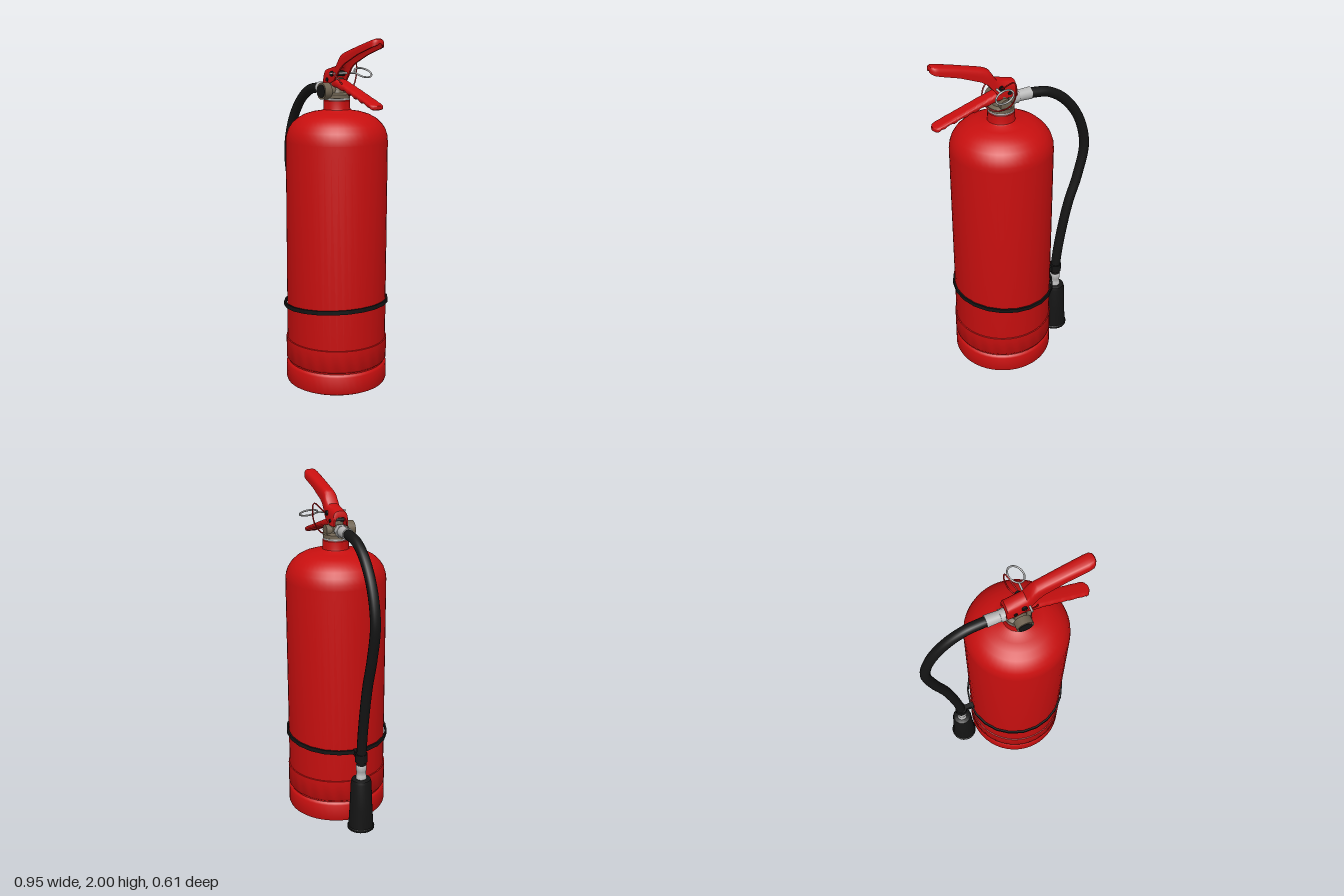
import * as THREE from 'three';
import { toCreasedNormals } from 'three/addons/utils/BufferGeometryUtils.js';

const mat = (color) => new THREE.MeshStandardMaterial({ color, side: THREE.DoubleSide });
const V = (x, y, z) => new THREE.Vector3(x, y, z);

export function createModel() {
  const red = mat(0xc80f0f), black = mat(0x141414), silver = mat(0xb8b8b8), brass = mat(0x6e6250);
  const model = new THREE.Group();
  model.name = 'fireExtinguisher';

  // Everything is built round the tank axis; the valve plane is turned slightly
  const axis = new THREE.Group();
  axis.name = 'tankAssembly';
  axis.position.x = 0.08;
  const head = new THREE.Group();
  head.name = 'valveAndHose';
  head.rotation.y = -0.224;
  axis.add(head);
  model.add(axis);

  const add = (parent, name, geometry, material, x = 0, y = 0, z = 0) => {
    const mesh = new THREE.Mesh(geometry, material);
    mesh.name = name;
    mesh.position.set(x, y, z);
    parent.add(mesh);
    return mesh;
  };
  const lathe = (parent, name, pts, material, x = 0, segs = 48) =>
    add(parent, name, toCreasedNormals(
      new THREE.LatheGeometry(pts.map(([r, y]) => new THREE.Vector2(r, y)), segs), 0.6), material, x);
  const tube = (parent, name, pts, r, material, segs = 48, closed = false) =>
    add(parent, name, new THREE.TubeGeometry(
      new THREE.CatmullRomCurve3(pts, closed), segs, r, 12, closed), material);
  // Cylinder lying along local z (turn = 'x') or local x (turn = 'z')
  const rod = (name, r1, r2, len, turn, material, x, y, z, segs = 24) => {
    const g = new THREE.CylinderGeometry(r1, r2, len, segs);
    if (turn === 'x') g.rotateX(Math.PI / 2);
    if (turn === 'z') g.rotateZ(Math.PI / 2);
    return add(head, name, g, material, x, y, z);
  };

  // Tank with domed shoulder and neck
  lathe(axis, 'tank', [[0.28, 0.1], [0.29, 0.2], [0.29, 1.43], [0.287, 1.46], [0.276, 1.495],
    [0.256, 1.526], [0.225, 1.555], [0.185, 1.577], [0.14, 1.591], [0.085, 1.6], [0.077, 1.606],
    [0.075, 1.615], [0.075, 1.655], [0.07, 1.662], [0, 1.662]], red);
  // Foot with recessed underside, groove and sleeve
  lathe(axis, 'baseSkirt', [[0, 0.06], [0.1, 0.055], [0.19, 0.035], [0.235, 0.01], [0.255, 0], [0.28, 0],
    [0.291, 0.006], [0.296, 0.018], [0.296, 0.11], [0.291, 0.12], [0.283, 0.126], [0.283, 0.134],
    [0.291, 0.14], [0.296, 0.148], [0.296, 0.268], [0.289, 0.27]], red);

  // Slanted retaining band
  const sides = 22;
  const ngon = (r, Type) => new Type(Array.from({ length: sides }, (_, i) => {
    const a = (i / sides) * Math.PI * 2;
    return new THREE.Vector2(r * Math.cos(a) - 0.004, r * Math.sin(a));
  }));
  const band = ngon(0.306, THREE.Shape);
  band.holes.push(ngon(0.296, THREE.Path));
  const bandGeo = new THREE.ExtrudeGeometry(band, { depth: 0.024, bevelEnabled: false });
  bandGeo.rotateX(-Math.PI / 2);
  const bp = bandGeo.attributes.position;
  for (let i = 0; i < bp.count; i++) bp.setY(i, bp.getY(i) + 0.47 + 0.07 * bp.getX(i) + 0.012 * bp.getZ(i));
  bandGeo.computeVertexNormals();
  add(axis, 'retainingBand', bandGeo, black);

  // Hose, its clip, and the discharge horn
  const hornX = -0.374;
  tube(head, 'hose', [V(-0.15, 1.718, 0), V(-0.21, 1.714, 0), V(-0.287, 1.7, 0), V(-0.39, 1.635, 0),
    V(-0.49, 1.5, 0), V(-0.541, 1.31, 0), V(-0.505, 1.1, 0), V(-0.45, 0.92, 0), V(-0.405, 0.7, 0),
    V(-0.38, 0.52, 0), V(hornX, 0.4, 0)], 0.029, black, 90);
  add(head, 'hoseClip', new THREE.CylinderGeometry(0.036, 0.036, 0.05, 20), black, hornX, 0.455, 0);
  add(head, 'clipLink', new THREE.BoxGeometry(0.09, 0.035, 0.03), black, -0.325, 0.455, 0);
  lathe(head, 'hornFerrule', [[0, 0.31], [0.031, 0.31], [0.031, 0.34], [0.028, 0.345], [0.028, 0.37],
    [0.031, 0.375], [0.031, 0.405], [0.027, 0.412], [0, 0.412]], silver, hornX, 24);
  lathe(head, 'dischargeHorn', [[0, 0.03], [0.055, 0.02], [0.062, 0], [0.079, 0], [0.08, 0.012],
    [0.074, 0.016], [0.067, 0.14], [0.06, 0.3], [0.055, 0.318], [0.045, 0.323], [0, 0.323]], black, hornX, 28);

  // Valve body, gauge and hose coupling
  lathe(head, 'valveBody', [[0.06, 1.655], [0.06, 1.668], [0.073, 1.67], [0.073, 1.69], [0.066, 1.696],
    [0.05, 1.7], [0.043, 1.72], [0.043, 1.76], [0.036, 1.78], [0, 1.78]], brass, 0, 32);
  lathe(head, 'collarRing', [[0.062, 1.66], [0.073, 1.66], [0.073, 1.669], [0.062, 1.669]], silver, 0, 32);
  rod('gaugeHousing', 0.047, 0.047, 0.045, 'x', brass, 0, 1.71, 0.082);
  rod('gaugeStem', 0.034, 0.034, 0.15, 'x', brass, 0, 1.71, 0.01);
  rod('gaugeFace', 0.038, 0.038, 0.006, 'x', black, 0, 1.71, 0.104);
  rod('hoseOutlet', 0.03, 0.03, 0.1, 'z', brass, -0.05, 1.718, 0);
  rod('couplingNut', 0.038, 0.038, 0.035, 'z', silver, -0.082, 1.718, 0, 6);
  rod('couplingSleeve', 0.034, 0.031, 0.085, 'z', silver, -0.135, 1.718, 0);

  // Loft of closed sections along x; sections list points so that i mirrors M-1-i
  const loft = (rings) => {
    const out = [], M = rings[0].length, last = rings.length - 1;
    const quad = (a, b, c, d) => [a, b, c, a, c, d].forEach((p) => out.push(p.x, p.y, p.z));
    for (let s = 0; s < last; s++) for (let i = 0; i < M; i++) {
      const j = (i + 1) % M;
      quad(rings[s][i], rings[s + 1][i], rings[s + 1][j], rings[s][j]);
    }
    for (let i = 0; i < M / 2 - 1; i++) {
      const [a, b] = [rings[0], rings[last]], j = M - 1 - i;
      quad(a[i], a[i + 1], a[j - 1], a[j]);
      quad(b[j], b[j - 1], b[i + 1], b[i]);
    }
    const g = new THREE.BufferGeometry();
    g.setAttribute('position', new THREE.Float32BufferAttribute(out, 3));
    return toCreasedNormals(g, 0.7);
  };
  const pow = (v, e) => Math.sign(v) * Math.pow(Math.abs(v), e);
  const N = 12;

  // Inverted-channel section of the squeeze lever
  const channel = ([x, top, bottom, w]) => {
    const arch = (hw, h) => Array.from({ length: N + 1 }, (_, i) => {
      const a = (i / N) * Math.PI;
      return V(x, bottom + h * Math.pow(Math.max(0, Math.sin(a)), 0.6), hw * pow(Math.cos(a), 0.6));
    });
    const h = top - bottom;
    return [...arch(w, h), ...arch(w - 0.01, Math.max(0.004, h - 0.012)).reverse()];
  };
  add(head, 'squeezeLever', loft([
    [-0.077, 1.805, 1.745, 0.043], [-0.07, 1.828, 1.742, 0.046], [-0.02, 1.84, 1.745, 0.046],
    [0.037, 1.853, 1.768, 0.046], [0.056, 1.882, 1.792, 0.045], [0.075, 1.911, 1.815, 0.043],
    [0.095, 1.922, 1.84, 0.041], [0.133, 1.934, 1.865, 0.04], [0.25, 1.966, 1.914, 0.041],
    [0.36, 1.994, 1.948, 0.043], [0.385, 2.0, 1.956, 0.04], [0.398, 1.997, 1.962, 0.03],
    [0.404, 1.988, 1.968, 0.018]].map(channel)), red);

  // Carrying handle with finger scallops underneath
  const handleRings = [];
  for (let k = 0; k <= 48; k++) {
    const t = k / 48, x = -0.02 + 0.422 * t;
    const top = x < 0.04 ? 1.775 : 1.775 - 0.335 * (x - 0.04);
    const scallop = x > 0.1 && t < 0.93 ? 0.01 * Math.abs(Math.sin((x - 0.1) * Math.PI / 0.062)) : 0;
    const tip = t > 0.94 ? Math.sqrt(Math.max(0.12, 1 - ((t - 0.94) / 0.06) ** 2)) : 1;
    const h = (0.05 - 0.02 * t - scallop) * (0.5 + 0.5 * tip), w = 0.042 * tip;
    handleRings.push(Array.from({ length: 2 * N }, (_, i) => {
      const a = ((i + 0.5) / N) * Math.PI;
      return V(x, top - h / 2 + (h / 2) * pow(Math.sin(a), 0.6), w * pow(Math.cos(a), 0.6));
    }));
  }
  add(head, 'carryHandle', loft(handleRings), red);

  // Pivot bolts, safety pin with ring, and seal loop
  rod('pivotBolt', 0.015, 0.015, 0.104, 'x', black, 0.018, 1.805, 0, 16);
  rod('handleBolt', 0.011, 0.011, 0.1, 'x', black, -0.03, 1.77, 0, 16);
  rod('safetyPin', 0.006, 0.006, 0.175, 'x', silver, 0.046, 1.808, -0.008, 12);
  const ring = add(head, 'pinRing',
    new THREE.TorusGeometry(0.05, 0.005, 10, 40).rotateX(Math.PI / 2), silver, 0.05, 1.808, -0.143);
  ring.rotation.z = -0.5;
  tube(axis, 'sealLoop', [V(0.035, 1.81, -0.05), V(0.018, 1.87, -0.135), V(0.018, 1.79, -0.14),
    V(0.03, 1.72, -0.1), V(0.07, 1.685, -0.03), V(0.1, 1.72, 0.03), V(0.07, 1.78, 0.065),
    V(0.035, 1.81, 0.07)], 0.004, red, 50);

  return model;
}
